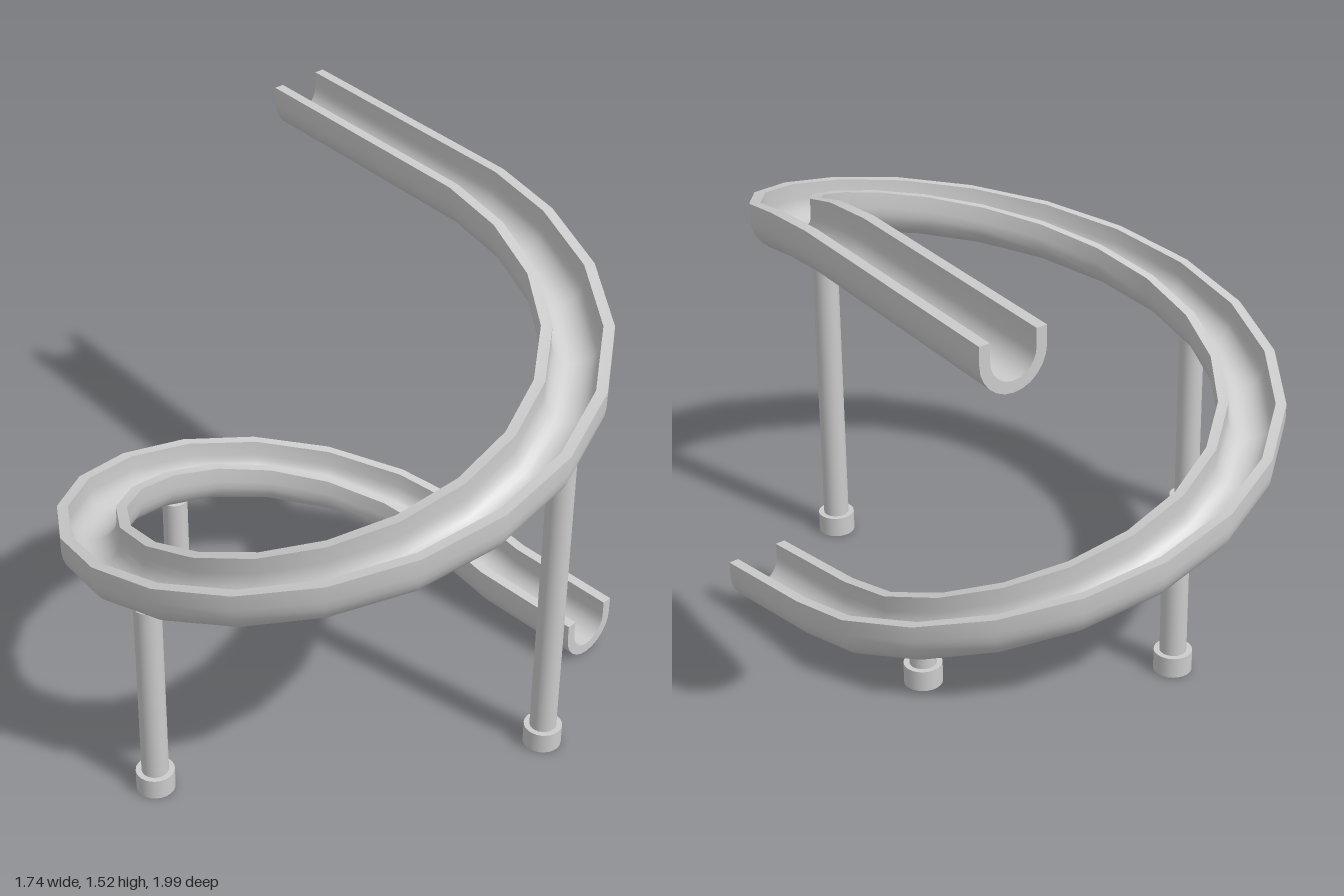
import * as THREE from 'three';
import { toCreasedNormals } from 'three/addons/utils/BufferGeometryUtils.js';

const CX = -0.035, CZ = 0.155, RING = 0.727; // spiral centre and radius
const OUTER = 0.108, INNER = 0.074, RIM = 0.052; // trough radii and rim height
const ARC = 12;

// Centre line: straight run-in, one full turn downwards, straight run-out
function slidePath() {
  const path = [new THREE.Vector3(0.66, 1.468, -0.985), new THREE.Vector3(0.697, 1.461, -0.08)];
  for (let i = 0; i <= 20; i++) {
    const a = (i / 20) * Math.PI * 2;
    let y = 1.43 - (1.315 * i) / 20;
    if (i === 20) y = 0.137;
    if (i === 19) y = 0.185;
    path.push(new THREE.Vector3(CX + RING * Math.cos(a), y, CZ + RING * Math.sin(a)));
  }
  path.push(new THREE.Vector3(0.76, 0.111, 0.522));
  return path;
}

// U-shaped section, counter-clockwise: outside left to right, inside back again
function troughSection() {
  const half = (r) => {
    const pts = [[-r, RIM]];
    for (let k = 0; k <= ARC; k++) {
      const a = Math.PI * (1 + k / ARC);
      pts.push([r * Math.cos(a), r * Math.sin(a)]);
    }
    pts.push([r, RIM]);
    return pts;
  };
  return [...half(OUTER), ...half(INNER).reverse()];
}

function sweepTrough() {
  const path = slidePath(), section = troughSection();
  const n = section.length, last = path.length - 1;
  const pos = [], index = [];
  path.forEach((p, i) => {
    const before = path[Math.max(i - 1, 0)], after = path[Math.min(i + 1, last)];
    const t1 = p.clone().sub(before).setY(0).normalize();
    const t2 = after.clone().sub(p).setY(0).normalize();
    const t = t1.add(t2).normalize();
    if (i === 0) t.set(0.13, 0, 0.99).normalize(); // slightly skewed upper cut
    for (const [u, v] of section) pos.push(p.x + t.z * u, p.y + v, p.z - t.x * u);
  });
  for (let i = 0; i < last; i++) {
    for (let j = 0; j < n; j++) {
      const k = (j + 1) % n;
      const a = i * n + j, b = i * n + k, c = b + n, d = a + n;
      index.push(a, b, c, a, c, d);
    }
  }
  // End faces across the wall thickness
  for (let k = 0; k < n / 2 - 1; k++) {
    const q = [k, k + 1, n - 2 - k, n - 1 - k];
    const e = q.map((v) => v + last * n);
    index.push(q[0], q[2], q[1], q[0], q[3], q[2]);
    index.push(e[0], e[1], e[2], e[0], e[2], e[3]);
  }
  const geo = new THREE.BufferGeometry();
  geo.setAttribute('position', new THREE.Float32BufferAttribute(pos, 3));
  geo.setIndex(index);
  return toCreasedNormals(geo, 0.75);
}

export function createModel() {
  const model = new THREE.Group();
  model.name = 'spiralSlide';
  const material = new THREE.MeshStandardMaterial({ color: 0xcccccc });

  const trough = new THREE.Mesh(sweepTrough(), material);
  trough.name = 'slideTrough';
  model.add(trough);

  // Support posts with round feet: x, z, foot bottom, post top
  const supports = [
    [0.35, 0.78, 0.005, 1.12],
    [-0.753, 0.26, 0.005, 0.7],
    [-0.162, -0.54, 0.005, 0.38],
    [0.553, -0.235, 0.025, 0.15],
  ];
  const addCylinder = (parent, name, r, y0, y1) => {
    const mesh = new THREE.Mesh(new THREE.CylinderGeometry(r, r, y1 - y0, 24), material);
    mesh.position.y = (y0 + y1) / 2;
    mesh.name = name;
    parent.add(mesh);
  };
  for (const [x, z, y0, top] of supports) {
    const support = new THREE.Group();
    support.name = 'support';
    support.position.set(x, 0, z);
    addCylinder(support, 'foot', 0.06, y0, y0 + 0.068);
    addCylinder(support, 'post', 0.042, y0 + 0.03, top);
    model.add(support);
  }
  return model;
}
